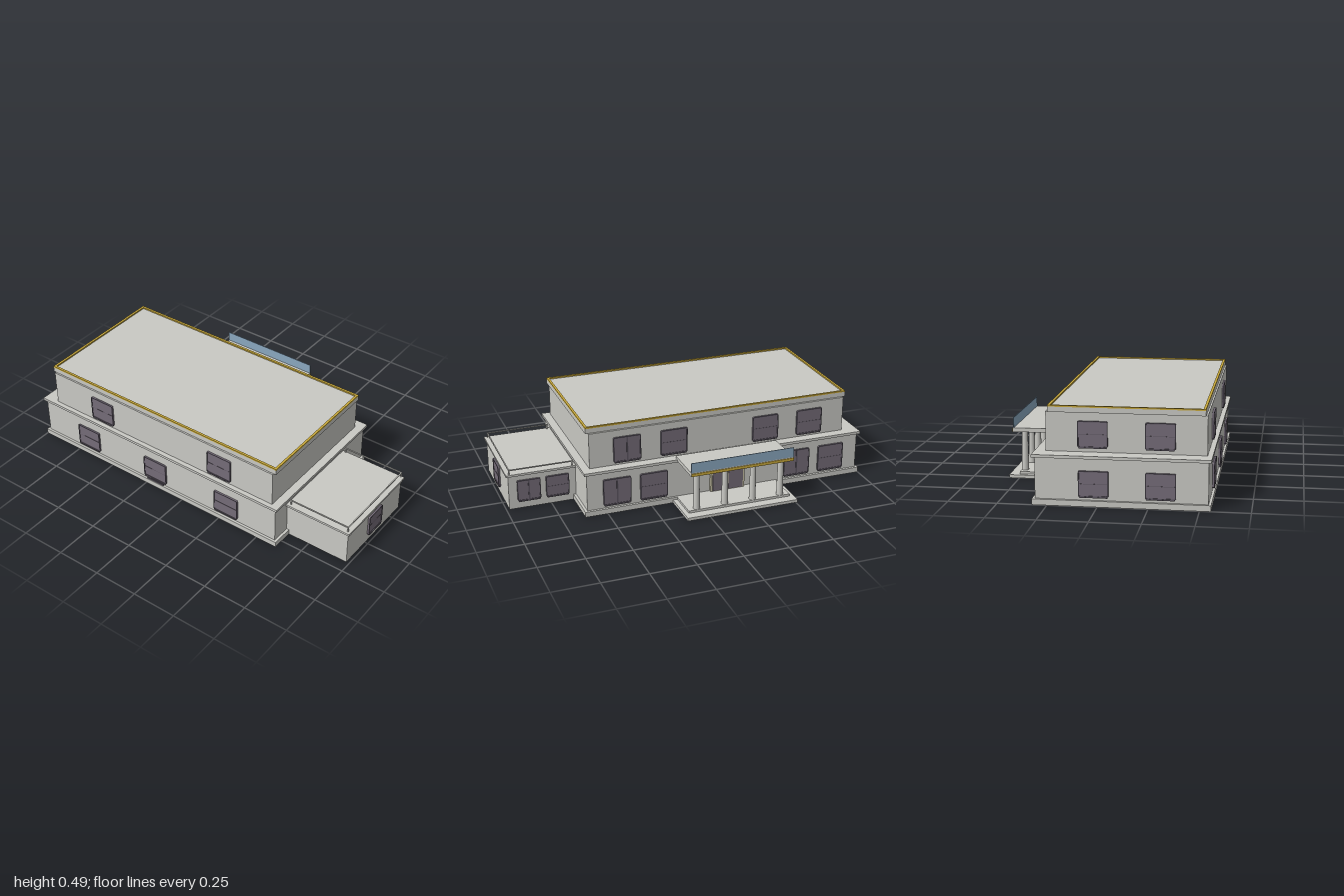
import * as THREE from 'three';

const mat = (name, color, extra = {}) => Object.assign(new THREE.MeshStandardMaterial({ color, ...extra }), { name });

export function createModel() {
  const M = {
    wall: mat('pale grey', 0xc9c9c4),
    glass: mat('violet grey glass', 0x756c78),
    frame: mat('dark frame', 0x5c5661),
    gold: mat('gold trim', 0xc9a93a),
    blue: mat('blue panel', 0x8aa8c0),
    tan: mat('door frame tan', 0xc8c2a6),
  };
  const model = new THREE.Group();
  model.name = 'building';

  // box given by its min and max corners
  function box(name, m, x0, x1, y0, y1, z0, z1, parent = model) {
    const mesh = new THREE.Mesh(new THREE.BoxGeometry(x1 - x0, y1 - y0, z1 - z0), m);
    mesh.position.set((x0 + x1) / 2, (y0 + y1) / 2, (z0 + z1) / 2);
    mesh.name = name;
    parent.add(mesh);
    return mesh;
  }

  // rectangle with small rounded corners, as a shape or a hole
  function rounded(path, w, h, r) {
    const a = w / 2, b = h / 2;
    path.moveTo(-a + r, -b);
    path.lineTo(a - r, -b);
    path.quadraticCurveTo(a, -b, a, -b + r);
    path.lineTo(a, b - r);
    path.quadraticCurveTo(a, b, a - r, b);
    path.lineTo(-a + r, b);
    path.quadraticCurveTo(-a, b, -a, b - r);
    path.lineTo(-a, -b + r);
    path.quadraticCurveTo(-a, -b, -a + r, -b);
    return path;
  }

  // window facing +z, turned to its wall: glass, frame, bars and sill
  function addWindow(name, x, y0, y1, z, turn, w, mullion) {
    const g = new THREE.Group(), h = y1 - y0;
    g.name = name;
    const pane = new THREE.Mesh(new THREE.ExtrudeGeometry(rounded(new THREE.Shape(), w, h, 0.008),
      { depth: 0.008, bevelEnabled: false, curveSegments: 3 }), M.glass);
    pane.name = 'windowPane';
    const ring = rounded(new THREE.Shape(), w, h, 0.008);
    ring.holes.push(rounded(new THREE.Path(), w - 0.01, h - 0.01, 0.006));
    const frame = new THREE.Mesh(new THREE.ExtrudeGeometry(ring,
      { depth: 0.011, bevelEnabled: false, curveSegments: 3 }), M.frame);
    frame.name = 'windowFrame';
    g.add(pane, frame);
    box('windowSill', M.frame, -w / 2 + 0.006, w / 2 - 0.006, -h / 2 - 0.004, -h / 2 + 0.002, 0, 0.012, g);
    if (mullion) box('windowMullion', M.frame, -0.004, 0.004, -h / 2, h / 2, 0, 0.011, g);
    else box('windowTransom', M.frame, -w / 2, w / 2, -0.001, 0.001, 0, 0.009, g);
    g.position.set(x, (y0 + y1) / 2, z);
    g.rotation.y = turn;
    model.add(g);
  }

  // main block: plinth, two floors, ledge and parapet
  box('plinth', M.wall, -1, 0.625, 0, 0.03, -0.326, 0.556);
  box('groundFloor', M.wall, -0.985, 0.61, 0.03, 0.239, -0.312, 0.543);
  box('ledge', M.wall, -1, 0.625, 0.239, 0.254, -0.326, 0.556);
  box('upperFloor', M.wall, -0.91, 0.58, 0.254, 0.453, -0.27, 0.53);
  box('roof', M.wall, -0.925, 0.595, 0.453, 0.479, -0.258, 0.521);

  // gold rim round the roof edge
  const X0 = -0.925, X1 = 0.595, Z0 = -0.258, Z1 = 0.521, T = 0.013;
  for (const [a, b, c, d] of [[X0, X1, Z0, Z0 + T], [X0, X1, Z1 - T, Z1],
    [X0, X0 + T, Z0 + T, Z1 - T], [X1 - T, X1, Z0 + T, Z1 - T]]) {
    box('roofRim', M.gold, a, b, 0.479, 0.487, c, d);
  }

  // side wing with flat roof and railing
  box('wing', M.wall, 0.61, 0.983, 0, 0.195, -0.095, 0.433);
  box('wingRoof', M.wall, 0.61, 0.995, 0.195, 0.207, -0.106, 0.445);
  const r = 0.006, railZ = [-0.104, 0.424];
  for (const z of railZ) {
    box('railing', M.wall, 0.61, 0.98, 0.231, 0.237, z, z + r);
    for (const x of [0.626, 0.974]) box('railPost', M.wall, x, x + r, 0.207, 0.231, z, z + r);
  }
  box('railing', M.wall, 0.974, 0.98, 0.231, 0.237, railZ[0] + r, railZ[1]);

  // porch: steps, columns, canopy and panel
  box('porchLowerStep', M.wall, -0.51, 0.13, 0, 0.017, -0.555, -0.3);
  box('porchUpperStep', M.wall, -0.485, 0.105, 0.017, 0.03, -0.502, -0.3);
  for (const x of [-0.434, -0.271, -0.109, 0.054]) {
    const column = new THREE.Mesh(new THREE.CylinderGeometry(0.015, 0.019, 0.216, 20), M.wall);
    column.position.set(x, 0.138, -0.482);
    column.name = 'column';
    model.add(column);
  }
  box('canopy', M.wall, -0.485, 0.105, 0.246, 0.268, -0.535, -0.302);
  box('canopyTrim', M.gold, -0.485, 0.105, 0.247, 0.263, -0.539, -0.535);
  box('canopyPanel', M.blue, -0.485, 0.105, 0.268, 0.323, -0.535, -0.531);

  // entrance door
  box('doorFrame', M.tan, -0.29, -0.09, 0.03, 0.195, -0.328, -0.312);
  for (const x of [-0.279, -0.186]) box('doorLeaf', M.glass, x, x + 0.085, 0.034, 0.185, -0.332, -0.328);

  // front windows and the small step below the middle one
  for (const x of [-0.667, -0.187, 0.295]) addWindow('groundFrontWindow', x, 0.05, 0.178, 0.543, 0, 0.153);
  for (const x of [-0.56, 0.243]) addWindow('upperFrontWindow', x, 0.275, 0.41, 0.53, 0, 0.153);
  box('frontStep', M.frame, -0.242, -0.132, 0.03, 0.04, 0.54, 0.554);

  // back windows
  const back = Math.PI;
  [0.443, 0.235, -0.61, -0.82].forEach((x, i) =>
    addWindow('groundBackWindow', x, 0.048, 0.198, -0.312, back, 0.155, i % 2 === 0));
  [0.37, 0.105, -0.432, -0.698].forEach((x, i) =>
    addWindow('upperBackWindow', x, 0.272, 0.414, -0.27, back, 0.153, i === 0));
  addWindow('wingBackWindow', 0.872, 0.045, 0.165, -0.095, back, 0.128, true);
  addWindow('wingBackWindow', 0.713, 0.045, 0.165, -0.095, back, 0.128, false);

  // side windows
  addWindow('wingSideWindow', 0.17, 0.045, 0.165, 0, Math.PI / 2, 0.13);
  model.children.at(-1).position.set(0.983, 0.105, 0.17);
  for (const z of [-0.02, 0.31]) addWindow('groundSideWindow', -0.985, 0.048, 0.178, z, -Math.PI / 2, 0.15);
  for (const z of [-0.035, 0.3]) addWindow('upperSideWindow', -0.91, 0.278, 0.41, z, -Math.PI / 2, 0.15);

  return model;
}
